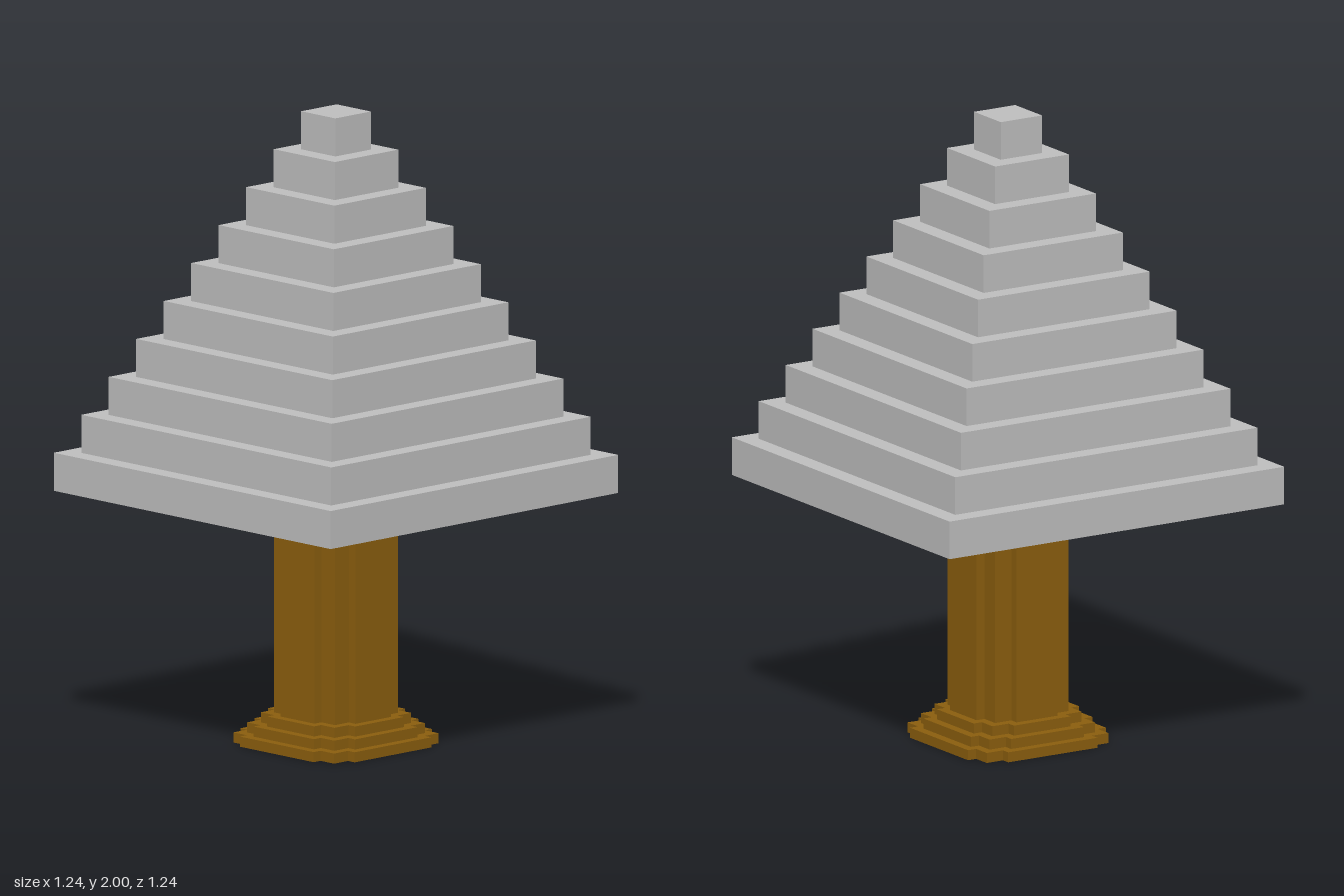
import * as THREE from 'three';

const stone = new THREE.MeshStandardMaterial({ name: 'paleStone', color: 0xc0c0c0 });
const wood = new THREE.MeshStandardMaterial({ name: 'goldenBrown', color: 0x8c5f0e });
const green = new THREE.MeshStandardMaterial({ name: 'darkGreen', color: 0x0a5c12 });

// Square plan with notched corners, extruded upward from y0 to y1.
// half: outer reach, arm: half width of each outer side, corner: reach of the corners
function notchedBlock(half, arm, corner, y0, y1) {
  const quarter = [[half, arm], [corner, arm], [corner, corner], [arm, corner], [arm, half]];
  const points = [];
  for (let q = 0; q < 4; q++) {
    for (const [x, y] of quarter) {
      const p = new THREE.Vector2(x, y);
      for (let k = 0; k < q; k++) p.set(-p.y, p.x);
      points.push(p);
    }
  }
  const geo = new THREE.ExtrudeGeometry(new THREE.Shape(points), { depth: y1 - y0, bevelEnabled: false });
  return geo.rotateX(-Math.PI / 2).translate(0, y0, 0);
}

function block(w, d, y0, y1, x = 0, z = 0) {
  return new THREE.BoxGeometry(w, y1 - y0, d).translate(x, (y0 + y1) / 2, z);
}

export function createModel() {
  const model = new THREE.Group();
  model.name = 'steppedTree';
  const add = (name, geometry, material) => {
    const mesh = new THREE.Mesh(geometry, material);
    mesh.name = name;
    model.add(mesh);
  };

  // Three stepped layers under the column
  const baseY = [0, 0.032, 0.064, 0.096];
  for (let i = 0; i < 3; i++) {
    const r = 0.255 - i * 0.03;
    add(`baseStep${i + 1}`, notchedBlock(r, r - 0.09, r - 0.03, baseY[i], baseY[i + 1]), wood);
  }

  // Column and square capital
  add('column', notchedBlock(0.166, 0.076, 0.136, 0.096, 0.733), wood);
  add('capital', block(0.392, 0.392, 0.733, 0.764), wood);

  // Brown cross above the capital with green blocks filling its corners
  const bottom = 0.795, arm = 0.076, reach = 0.256;
  add('capitalCross', notchedBlock(reach, arm, arm + 0.001, 0.764, bottom), wood);
  const size = reach - arm, mid = (reach + arm) / 2;
  for (const sx of [-1, 1]) {
    for (const sz of [-1, 1]) {
      add('capitalCorner', block(size, size, 0.764, bottom, sx * mid, sz * mid), green);
    }
  }

  // Thin green lining below the roof
  add('roofLining', notchedBlock(0.576, 0.556, 0.566, bottom - 0.003, bottom + 0.002), green);

  // Ten shrinking square tiers
  const tiers = 10, height = (2 - bottom) / tiers;
  for (let i = 0; i < tiers; i++) {
    const width = 2 * (0.619 - i * 0.0603);
    add(`roofTier${i + 1}`, block(width, width, bottom + i * height, bottom + (i + 1) * height), stone);
  }
  return model;
}
